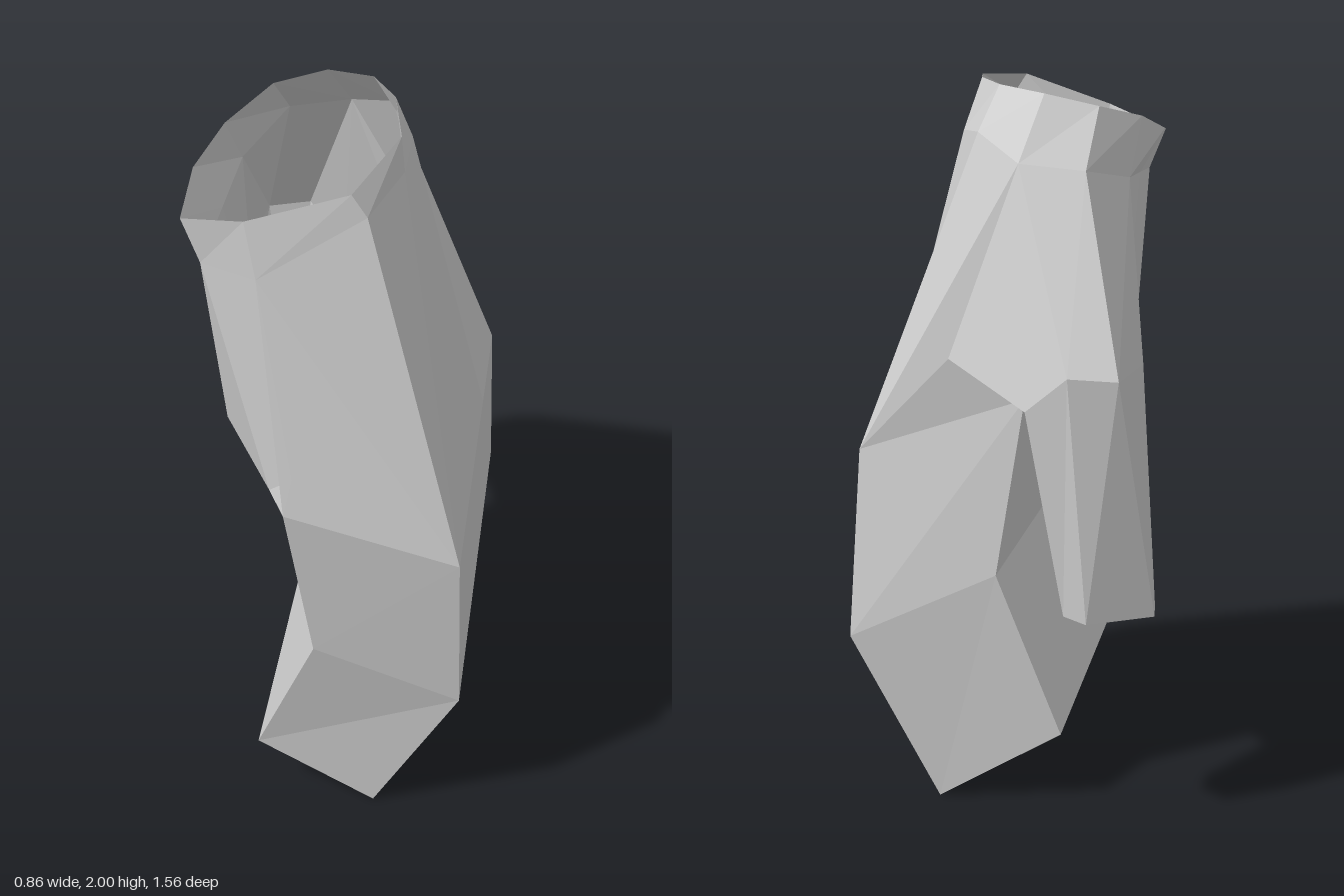
import * as THREE from 'three';

const material = new THREE.MeshStandardMaterial({ color: 0xcccccc, flatShading: true, side: THREE.DoubleSide });

// Builds one faceted mesh from a list of polygons (each fanned from its first corner)
function facets(name, polygons) {
  const positions = [];
  for (const p of polygons)
    for (let i = 1; i < p.length - 1; i++) positions.push(...p[0], ...p[i], ...p[i + 1]);
  const geometry = new THREE.BufferGeometry();
  geometry.setAttribute('position', new THREE.Float32BufferAttribute(positions, 3));
  geometry.computeVertexNormals();
  const mesh = new THREE.Mesh(geometry, material);
  mesh.name = name;
  return mesh;
}

// Joins two matching cross-sections; repeated corners collapse to triangles
function loft(upper, lower, closed = false) {
  const polygons = [];
  const n = upper.length;
  for (let i = 0; i < (closed ? n : n - 1); i++) {
    const j = (i + 1) % n;
    const corners = [lower[i], lower[j], upper[j], upper[i]];
    polygons.push(corners.filter((c, k) => c !== corners[(k + 1) % 4]));
  }
  return polygons;
}

export function createModel() {
  const hand = new THREE.Group();
  hand.name = 'hand';

  // Wrist opening and the ring just below it, from the front round the +x side
  const rim = [
    [0.11, 2, 0.64], [0.195, 2, 0.3], [0.15, 1.99, 0.04], [0.07, 1.97, -0.13], [-0.07, 1.945, -0.215],
    [-0.22, 1.91, -0.18], [-0.32, 1.88, 0.03], [-0.37, 1.84, 0.23], [-0.35, 1.83, 0.5], [-0.16, 1.905, 0.635],
  ];
  const wrist = [
    [0.15, 1.94, 0.64], [0.205, 1.9, 0.3], [0.19, 1.84, -0.04], [0.11, 1.84, -0.26], [-0.03, 1.76, -0.43],
    [-0.21, 1.74, -0.4], [-0.3, 1.71, -0.11], [-0.3, 1.71, 0.2], [-0.3, 1.71, 0.51], [-0.13, 1.75, 0.65],
  ];

  // Knuckle line on the back of the hand, and the crease at the finger roots
  const knuckles = [[0.415, 0.97, 0.74], [0.415, 0.97, 0.3], [0.415, 0.97, -0.07], [0.415, 0.97, -0.45]];
  const creaseFront = [-0.05, 1.12, 0.78];
  const creaseBack = [-0.05, 1.12, -0.45];

  // Lower edge of the palm
  const palmEdge = [[-0.29, 1.18, -0.17], [-0.28, 1.17, 0.13], [-0.27, 1.15, 0.38], [-0.11, 1.1, 0.64]];
  const palmFront = [-0.03, 1.22, 0.755];

  // Thumb cross-sections
  const web = [0.16, 1.23, -0.46];
  const thumbJoint = [
    [-0.09, 1.13, -0.71], [-0.21, 1.23, -0.78], [-0.34, 1.22, -0.75], [-0.37, 1.22, -0.4], [-0.1, 1.13, -0.46],
  ];
  const thumbTip = [
    [-0.19, 0.58, -0.69], [-0.26, 0.58, -0.765], [-0.43, 0.58, -0.655], [-0.42, 0.58, -0.53], [-0.2, 0.58, -0.585],
  ];
  const [thumbSide, , , thumbPalm, thumbInner] = thumbJoint;

  // Finger cross-sections
  const fingerRoot = [knuckles[0], knuckles[3], creaseBack, creaseFront];
  const fingerMiddle = [[0.425, 0.46, 0.69], [0.425, 0.46, -0.55], [0.02, 0.64, -0.52], [0.02, 0.64, 0.735]];
  const fingerTip = [[0.18, 0, 0.64], [0.18, 0, -0.52], [-0.16, 0.19, -0.51], [-0.16, 0.19, 0.64]];

  hand.add(
    facets('wristCuff', loft(rim, wrist, true)),
    facets('backOfHand', [
      ...loft(wrist.slice(0, 5), [...knuckles, web]),
      [knuckles[3], creaseBack, web],
      [wrist[9], palmFront, creaseFront, knuckles[0], wrist[0]],
    ]),
    facets('palm', [
      ...loft(
        [wrist[6], wrist[6], wrist[7], wrist[8], wrist[8], wrist[9]],
        [thumbPalm, ...palmEdge, palmFront]
      ),
      [palmEdge[3], creaseFront, palmFront],
      // underside of the palm
      [creaseBack, creaseFront, ...[...palmEdge].reverse(), thumbPalm, thumbInner],
    ]),
    facets('thumbBase', [
      ...loft([web, wrist[4], wrist[5], wrist[6]], thumbJoint.slice(0, 4)),
      [web, creaseBack, thumbInner, thumbSide],
    ]),
    facets('thumb', [...loft(thumbJoint, thumbTip, true), [...thumbTip].reverse()]),
    facets('fingers', [
      ...loft(fingerRoot, fingerMiddle, true),
      ...loft(fingerMiddle, fingerTip, true),
      [...fingerTip].reverse(),
    ])
  );
  return hand;
}
